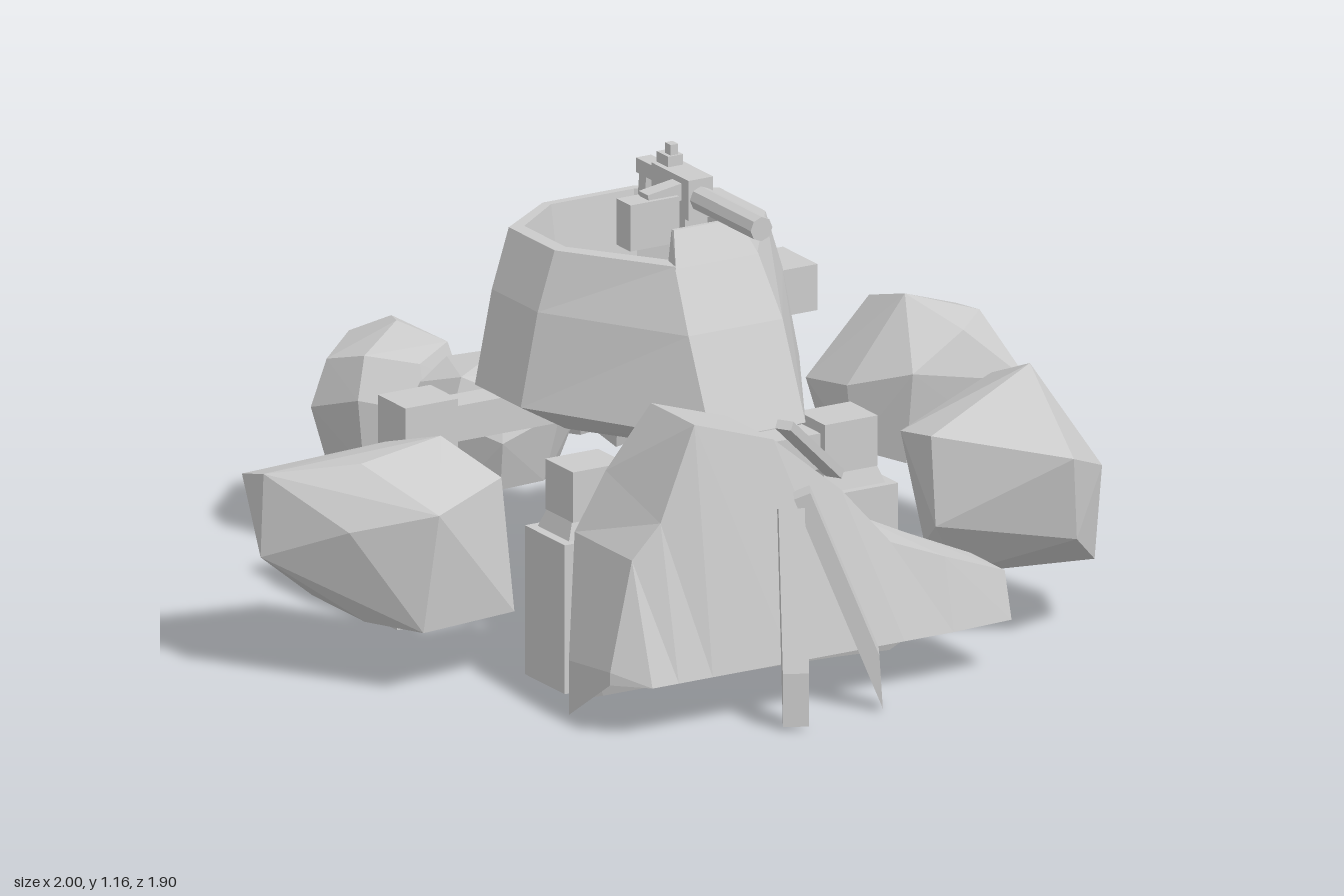
import * as THREE from 'three';
import { ConvexGeometry } from 'three/addons/geometries/ConvexGeometry.js';

const grey = new THREE.MeshStandardMaterial({ color: 0xcccccc, flatShading: true });

function add(parent, name, geometry, x = 0, y = 0, z = 0) {
  const mesh = new THREE.Mesh(geometry, grey);
  mesh.name = name;
  mesh.position.set(x, y, z);
  parent.add(mesh);
  return mesh;
}

// Box given by its extents on each axis
function box(parent, name, [x0, x1], [y0, y1], [z0, z1]) {
  return add(parent, name, new THREE.BoxGeometry(x1 - x0, y1 - y0, z1 - z0),
    (x0 + x1) / 2, (y0 + y1) / 2, (z0 + z1) / 2);
}

// Convex solid around a handful of corners
function hull(parent, name, points) {
  return add(parent, name, new ConvexGeometry(points.map((p) => new THREE.Vector3(...p))));
}

// Skin closed rings of points and cap both ends
function loft(rings) {
  const pos = [];
  const tri = (a, b, c) => pos.push(...a, ...b, ...c);
  const n = rings[0].length;
  for (let r = 0; r < rings.length - 1; r++) {
    for (let i = 0; i < n; i++) {
      const j = (i + 1) % n, a = rings[r], b = rings[r + 1];
      tri(a[i], a[j], b[j]);
      tri(a[i], b[j], b[i]);
    }
  }
  const first = rings[0], last = rings[rings.length - 1];
  for (let i = 1; i < n - 1; i++) {
    tri(first[0], first[i + 1], first[i]);
    tri(last[0], last[i], last[i + 1]);
  }
  const g = new THREE.BufferGeometry();
  g.setAttribute('position', new THREE.Float32BufferAttribute(pos, 3));
  g.computeVertexNormals();
  return g;
}

// Eight-sided tub outline: half widths of side, back and front, then their depths
function tubRing(y, cx, side, back, front, zBack, zFront, zs = 0.1) {
  return [[side, zs], [side, -zs], [back, zBack], [-back, zBack],
    [-side, -zs], [-side, zs], [-front, zFront], [front, zFront]].map(([x, z]) => [x + cx, y, z]);
}

// Rounded stone: plan outline at its waist, drawn in towards the top and base
function stone(parent, name, outline, yBase, yTop, topScale, baseScale) {
  const c = new THREE.Vector2();
  outline.forEach(([x, z]) => c.add(new THREE.Vector2(x, z).divideScalar(outline.length)));
  const h = yTop - yBase, pts = [];
  outline.forEach(([x, z], i) => {
    const wobble = (i % 2 ? 0.1 : -0.06) * h;
    const at = (s, y) => pts.push([c.x + (x - c.x) * s, y, c.y + (z - c.y) * s]);
    at(1, yBase + h * 0.48 + wobble);
    at(topScale, yBase + h * 0.84 + wobble * 0.7);
    at(baseScale, yBase);
  });
  pts.push([c.x + 0.03, yTop, c.y - 0.02]);
  hull(parent, name, pts);
}

// Plank between two points, with its lower end cut to a point
function plank(parent, a, b, width, thickness, cut) {
  const start = new THREE.Vector3(...a), end = new THREE.Vector3(...b);
  const g = new THREE.BoxGeometry(width, thickness, start.distanceTo(end));
  const p = g.attributes.position;
  for (let i = 0; i < p.count; i++) {
    if (p.getZ(i) < 0 && p.getY(i) > 0) p.setZ(i, p.getZ(i) + cut);
  }
  const mesh = add(parent, 'plank', g);
  mesh.position.copy(start).lerp(end, 0.5);
  mesh.lookAt(end);
}

export function createModel() {
  const model = new THREE.Group();
  model.name = 'gunEmplacement';

  // Hollow armoured tub
  const cx = -0.018;
  add(model, 'gunTub', loft([
    tubRing(0.53, cx, 0.25, 0.1, 0.1, -0.15, 0.33),
    tubRing(0.6, cx, 0.37, 0.125, 0.125, -0.36, 0.53),
    tubRing(0.82, cx, 0.325, 0.125, 0.125, -0.275, 0.43),
    tubRing(0.96, cx, 0.28, 0.12, 0.11, -0.215, 0.345),
    tubRing(0.96, cx, 0.245, 0.11, 0.09, -0.195, 0.3, 0.09),
    tubRing(0.66, cx, 0.19, 0.1, 0.1, -0.15, 0.2, 0.08),
  ]));

  // Raised plate continuing the tub's front
  const shield = [];
  for (const s of [-1, 1]) {
    shield.push([cx + s * 0.11, 0.955, 0.35], [cx + s * 0.1, 0.955, 0.3],
      [cx + s * 0.085, 1.03, 0.3], [cx + s * 0.085, 1.03, 0.29]);
  }
  hull(model, 'frontShield', shield);
  box(model, 'sideBox', [0.29, 0.4], [0.7, 0.81], [-0.05, 0.1]);

  // Four posts with tapered necks and caps, joined by cross beams
  for (const [z, inner, outer] of [[-0.275, 0.305, 0.525], [0.325, 0.23, 0.44]]) {
    for (const s of [-1, 1]) {
      const x = s * (inner + outer) / 2 + cx;
      const post = new THREE.Group();
      post.name = 'supportPost';
      box(post, 'post', [x - 0.108, x + 0.108], [0.015, 0.37], [z - 0.087, z + 0.087]);
      const neck = new THREE.CylinderGeometry(0.07 * Math.SQRT2, 0.085 * Math.SQRT2, 0.04, 4);
      neck.rotateY(Math.PI / 4).scale(1, 1, 0.8);
      add(post, 'neck', neck, x, 0.39, z);
      box(post, 'cap', [x - 0.07, x + 0.07], [0.41, 0.53], [z - 0.06, z + 0.06]);
      model.add(post);
    }
    box(model, 'crossBeam', [cx - inner - 0.05, cx + inner + 0.05], [0.42, 0.505], [z - 0.04, z + 0.04]);
  }

  // Ruined front wall: sections along x of [z, y] corners
  const wall = [
    [-0.54, [0.56, 0.02], [0.56, 0.15], [0.74, 0.17], [0.74, 0.14], [0.58, 0.14]],
    [-0.47, [0.47, 0.02], [0.47, 0.42], [0.72, 0.42], [0.81, 0.14], [0.53, 0.14]],
    [-0.40, [0.48, 0.02], [0.49, 0.56], [0.73, 0.5], [0.81, 0.14], [0.53, 0.14]],
    [-0.31, [0.48, 0.02], [0.54, 0.72], [0.73, 0.72], [0.81, 0.14], [0.53, 0.14]],
    [-0.10, [0.49, 0.02], [0.53, 0.65], [0.73, 0.65], [0.81, 0.14], [0.53, 0.14]],
    [0.08, [0.50, 0.02], [0.52, 0.5], [0.73, 0.5], [0.81, 0.14], [0.54, 0.14]],
    [0.2, [0.51, 0.02], [0.56, 0.38], [0.75, 0.36], [0.81, 0.14], [0.55, 0.14]],
    [0.33, [0.53, 0.02], [0.6, 0.32], [0.77, 0.31], [0.81, 0.14], [0.57, 0.14]],
    [0.49, [0.58, 0.13], [0.62, 0.25], [0.77, 0.25], [0.8, 0.14], [0.6, 0.13]],
  ];
  add(model, 'frontWall', loft(wall.map(([x, ...c]) => c.map(([z, y]) => [x, y, z]))));

  // Planks leaning on the wall
  plank(model, [-0.16, 0.03, 0.93], [-0.09, 0.5, 0.79], 0.06, 0.04, 0.12);
  plank(model, [0.12, 0.03, 0.88], [-0.055, 0.53, 0.78], 0.06, 0.04, 0.12);
  plank(model, [-0.12, 0.71, 0.81], [0.1, 0.52, 0.67], 0.04, 0.022, 0);

  // Large boulders around the emplacement
  hull(model, 'rightBoulder', [[-0.94, 0.45, -0.21], [-0.82, 0.17, -0.1], [-0.62, 0.5, -0.11],
    [-0.5, 0.17, 0], [-0.43, 0.35, 0.07], [-0.5, 0.48, 0.2], [-0.49, 0.17, 0.24], [-0.72, 0.45, 0.29],
    [-0.75, 0.17, 0.27], [-0.88, 0.4, 0.16], [-0.82, 0.17, 0.13], [-1, 0.31, -0.03],
    [-0.98, 0.5, -0.05], [-0.57, 0.55, 0.05], [-0.8, 0.53, 0.08]]);
  hull(model, 'leftBoulder', [[0.57, 0.42, -0.23], [0.6, 0.28, -0.2], [0.85, 0.5, -0.285],
    [0.85, 0.28, -0.28], [0.97, 0.53, -0.23], [1, 0.28, -0.12], [1, 0.47, -0.08], [0.94, 0.45, 0.135],
    [0.92, 0.28, 0.11], [0.66, 0.5, 0.09], [0.66, 0.28, 0.06], [0.57, 0.45, -0.05], [0.58, 0.3, -0.04],
    [0.73, 0.64, -0.06], [0.91, 0.58, -0.03], [0.72, 0.6, -0.2], [0.8, 0.58, 0.08]]);
  hull(model, 'frontBoulder', [[0.82, 0.5, 0.17], [0.8, 0.19, 0.2], [0.84, 0.42, 0.42], [0.88, 0.15, 0.45],
    [0.84, 0.4, 0.62], [0.82, 0.18, 0.62], [0.68, 0.48, 0.76], [0.7, 0.28, 0.74], [0.41, 0.53, 0.58],
    [0.41, 0.32, 0.6], [0.5, 0.18, 0.55], [0.42, 0.5, 0.43], [0.52, 0.2, 0.37], [0.77, 0.6, 0.42],
    [0.55, 0.35, 0.33], [0.65, 0.15, 0.49]]);

  // Smaller stones behind the tub
  stone(model, 'backBoulder', [[-0.22, -0.97], [-0.11, -0.92], [-0.06, -0.79], [-0.1, -0.63],
    [-0.21, -0.6], [-0.37, -0.64], [-0.41, -0.78]], 0.24, 0.53, 0.8, 0.82);
  stone(model, 'backBoulder', [[-0.33, -0.54], [-0.2, -0.6], [-0.06, -0.62], [0.06, -0.5],
    [0.06, -0.4], [-0.02, -0.33], [-0.18, -0.32], [-0.27, -0.4]], 0.24, 0.53, 0.75, 0.75);
  stone(model, 'rubbleStone', [[0.12, -0.68], [0.2, -0.72], [0.3, -0.66], [0.28, -0.6],
    [0.19, -0.58]], 0.24, 0.44, 0.85, 0.6);

  // Broken blocks: position, size, turn
  const rubble = [
    [0.25, 0.35, -0.49, 0.16, 0.12, 0.15, 0.25, 0.12, 0.1],
    [0.47, 0.33, -0.515, 0.2, 0.1, 0.14, 0.25, -0.65, 0.25],
    [0.32, 0.34, -0.59, 0.1, 0.13, 0.06, 0.5, 0.4, 0.2],
  ];
  for (const [x, y, z, w, h, d, rx, ry, rz] of rubble) {
    add(model, 'rubbleBlock', new THREE.BoxGeometry(w, h, d), x, y, z).rotation.set(rx, ry, rz);
  }

  // Machine gun on its mount
  const gun = new THREE.Group();
  gun.name = 'machineGun';
  gun.position.x = -0.013;
  const barrel = new THREE.CylinderGeometry(0.029, 0.029, 0.27, 8).rotateX(Math.PI / 2);
  add(gun, 'barrel', barrel, 0, 1.083, 0.4);
  box(gun, 'receiver', [-0.033, 0.033], [1.035, 1.13], [0.11, 0.27]);
  box(gun, 'rearPlate', [-0.02, 0.02], [1.08, 1.115], [0.02, 0.11]);
  box(gun, 'grip', [-0.013, 0.013], [1.0, 1.11], [0.02, 0.05]).rotation.x = 0.12;
  box(gun, 'sightBase', [-0.02, 0.02], [1.13, 1.155], [0.11, 0.16]);
  box(gun, 'sight', [-0.01, 0.01], [1.14, 1.18], [0.13, 0.155]);
  box(gun, 'mount', [-0.03, 0.03], [0.98, 1.04], [0.19, 0.25]);
  box(gun, 'pintle', [-0.012, 0.012], [0.94, 0.99], [0.2, 0.225]);
  box(gun, 'ammoBox', [-0.175, -0.045], [0.98, 1.09], [0.19, 0.25]);
  box(gun, 'ammoFeed', [-0.12, -0.02], [1.07, 1.11], [0.2, 0.24]).rotation.z = 0.15;
  model.add(gun);

  return model;
}
